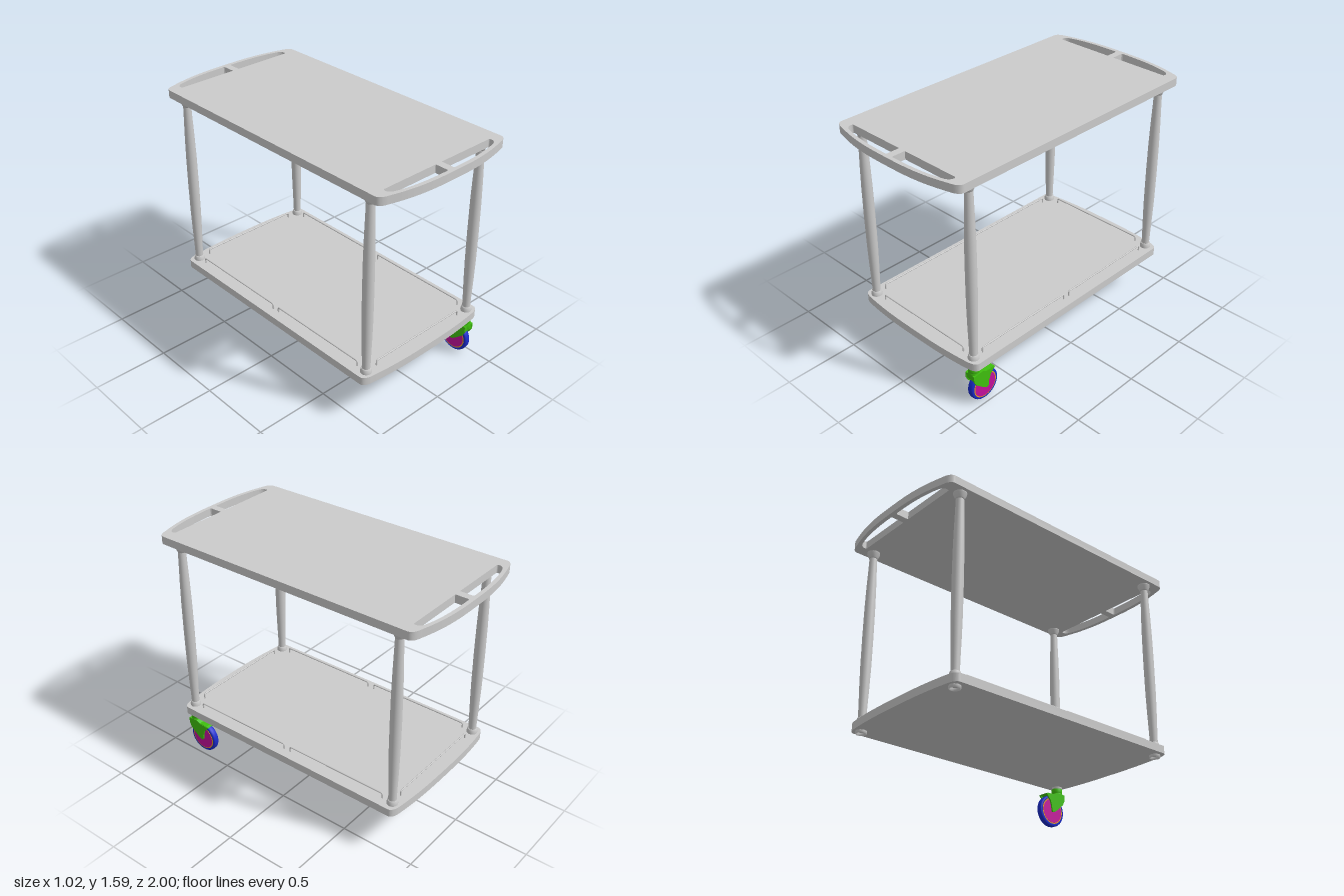
import * as THREE from 'three';

const mat = (color) => new THREE.MeshStandardMaterial({ color });
const grey = mat(0xcccccc);
const thinGrey = new THREE.MeshStandardMaterial({ color: 0xcccccc, side: THREE.DoubleSide });
const green = mat(0x3fbf0f);
const blue = mat(0x1a2bcc);
const magenta = mat(0xc4109c);
const orange = mat(0xe8a01c);

const LEG_X = 0.447, LEG_Z = 0.815;

function add(parent, name, geometry, material = grey) {
  const mesh = new THREE.Mesh(geometry, material);
  mesh.name = name;
  parent.add(mesh);
  return mesh;
}

const lathe = (points, segments = 28) =>
  new THREE.LatheGeometry(points.map(([r, y]) => new THREE.Vector2(r, y)), segments);

// Board outline: straight sides, rounded corners, bowed ends
function boardShape(halfWidth, cornerZ, shoulderX, shoulderZ, endZ) {
  const s = new THREE.Shape();
  s.moveTo(halfWidth, -cornerZ);
  s.lineTo(halfWidth, cornerZ);
  for (const d of [1, -1]) {
    if (d < 0) s.lineTo(-halfWidth, -cornerZ);
    const sx = shoulderX * d, z = (v) => v * d;
    s.quadraticCurveTo(halfWidth * d, z(shoulderZ - 0.012), sx, z(shoulderZ));
    s.bezierCurveTo(sx * 0.6, z(endZ), sx * 0.3, z(endZ), 0, z(endZ));
    s.bezierCurveTo(-sx * 0.3, z(endZ), -sx * 0.6, z(endZ), -sx, z(shoulderZ));
    s.quadraticCurveTo(-halfWidth * d, z(shoulderZ - 0.012), -halfWidth * d, z(cornerZ));
  }
  return s;
}

// Handle slot in one quarter of the top board
function slotPath(sx, sz) {
  const p = new THREE.Path();
  p.moveTo(0.024 * sx, 0.884 * sz);
  p.lineTo(0.42 * sx, 0.884 * sz);
  p.quadraticCurveTo(0.43 * sx, 0.884 * sz, 0.43 * sx, 0.9 * sz);
  p.quadraticCurveTo(0.428 * sx, 0.922 * sz, 0.4 * sx, 0.935 * sz);
  p.bezierCurveTo(0.3 * sx, 0.965 * sz, 0.18 * sx, 0.974 * sz, 0.03 * sx, 0.974 * sz);
  p.lineTo(0.024 * sx, 0.968 * sz);
  p.closePath();
  return p;
}

function board(shape, topY, thickness) {
  const g = new THREE.ExtrudeGeometry(shape, { depth: thickness, bevelEnabled: false, curveSegments: 14 });
  return g.rotateX(Math.PI / 2).translate(0, topY, 0);
}

// Bent wire guard rail between two floor points
function rail(ax, az, bx, bz) {
  const a = new THREE.Vector3(ax, 0.34, az), b = new THREE.Vector3(bx, 0.34, bz);
  const along = b.clone().sub(a).normalize().multiplyScalar(0.012);
  const up = new THREE.Vector3(0, 0.038, 0), bend = new THREE.Vector3(0, 0.012, 0);
  const a1 = a.clone().add(up), b1 = b.clone().add(up);
  const path = new THREE.CurvePath();
  const aLow = a1.clone().sub(bend), aIn = a1.clone().add(along);
  const bLow = b1.clone().sub(bend), bIn = b1.clone().sub(along);
  path.add(new THREE.LineCurve3(a, aLow));
  path.add(new THREE.QuadraticBezierCurve3(aLow, a1, aIn));
  path.add(new THREE.LineCurve3(aIn, bIn));
  path.add(new THREE.QuadraticBezierCurve3(bIn, b1, bLow));
  path.add(new THREE.LineCurve3(bLow, b));
  return new THREE.TubeGeometry(path, 160, 0.005, 8);
}

function buildLeg() {
  const leg = new THREE.Group();
  leg.name = 'leg';
  // Tapered post, fuller in the middle
  add(leg, 'post', lathe([[0.025, 0.36], [0.027, 0.45], [0.031, 0.58], [0.034, 0.72], [0.035, 0.93],
    [0.034, 1.13], [0.031, 1.28], [0.027, 1.41], [0.025, 1.5]]));
  add(leg, 'upperCup', lathe([[0.0, 1.488], [0.026, 1.488], [0.029, 1.495], [0.042, 1.524], [0.042, 1.536]]));
  add(leg, 'lowerCollar', lathe([[0.035, 0.34], [0.035, 0.352], [0.031, 0.372], [0.026, 0.375], [0, 0.375]]));
  // Hollow socket under the lower shelf
  add(leg, 'casterSocket', lathe([[0.027, 0.292], [0.027, 0.274], [0.035, 0.274], [0.035, 0.292]]), thinGrey);
  return leg;
}

// Side profile in (z, y), extruded across x and centred
function sidePlate(points, width) {
  const shape = new THREE.Shape(points.map(([z, y]) => new THREE.Vector2(z, y)));
  return new THREE.ExtrudeGeometry(shape, { depth: width, bevelEnabled: false })
    .rotateY(-Math.PI / 2).translate(width / 2, 0, 0);
}

// Caster: origin on the stem axis, wheel trailing towards -z
function buildCaster() {
  const caster = new THREE.Group();
  caster.name = 'caster';
  add(caster, 'swivelStem', lathe([[0, 0.19], [0.03, 0.19], [0.037, 0.21], [0.037, 0.238], [0.034, 0.242],
    [0.034, 0.248], [0.037, 0.252], [0.037, 0.276], [0.03, 0.284], [0, 0.284]]), green);
  add(caster, 'forkHood', sidePlate([[0.034, 0.235], [0.034, 0.195], [0.015, 0.18], [-0.03, 0.2],
    [-0.1, 0.205], [-0.136, 0.218], [-0.12, 0.224], [-0.06, 0.225], [-0.035, 0.24]], 0.07), green);
  for (const side of [-1, 1]) {
    const arm = add(caster, 'forkArm', sidePlate([[0.036, 0.235], [0.036, 0.195], [0.018, 0.162], [-0.03, 0.12],
      [-0.058, 0.1], [-0.074, 0.096], [-0.084, 0.106], [-0.086, 0.14], [-0.1, 0.178], [-0.136, 0.218],
      [-0.06, 0.225], [-0.035, 0.24]], 0.01), green);
    arm.position.x = side * 0.033;
  }
  const wheel = new THREE.Group();
  wheel.name = 'wheel';
  wheel.position.set(0, 0.108, -0.068);
  wheel.rotation.z = Math.PI / 2;
  caster.add(wheel);
  add(wheel, 'tyre', lathe([[0.088, -0.021], [0.101, -0.021], [0.106, -0.016], [0.108, -0.008], [0.108, 0.008],
    [0.106, 0.016], [0.101, 0.021], [0.088, 0.021], [0.088, -0.021]], 40), blue);
  add(wheel, 'rim', new THREE.CylinderGeometry(0.09, 0.09, 0.043, 40), orange);
  add(wheel, 'hub', new THREE.CylinderGeometry(0.083, 0.083, 0.046, 40), magenta);
  add(wheel, 'axle', new THREE.CylinderGeometry(0.01, 0.01, 0.07, 16), green);
  return caster;
}

export function createModel() {
  const model = new THREE.Group();
  model.name = 'serviceCart';

  // Top board with four handle slots
  const top = boardShape(0.51, 0.9, 0.445, 0.95, 1.0);
  for (const sx of [-1, 1]) for (const sz of [-1, 1]) top.holes.push(slotPath(sx, sz));
  add(model, 'topBoard', board(top, 1.585, 0.052));

  // Lower shelf
  add(model, 'lowerShelf', board(boardShape(0.51, 0.825, 0.46, 0.866, 0.89), 0.343, 0.052));

  // Guard rails: two along each side, one at each end
  for (const s of [-1, 1]) {
    add(model, 'endRail', rail(-0.36, s * LEG_Z, 0.36, s * LEG_Z));
    for (const e of [-1, 1]) add(model, 'sideRail', rail(s * LEG_X, e * 0.025, s * LEG_X, e * 0.742));
  }

  // Four legs
  for (const sx of [-1, 1]) for (const sz of [-1, 1]) {
    const leg = buildLeg();
    leg.position.set(sx * LEG_X, 0, sz * LEG_Z);
    model.add(leg);
  }

  // Single caster under the front left leg
  const caster = buildCaster();
  caster.position.set(LEG_X, 0, LEG_Z);
  model.add(caster);
  return model;
}
